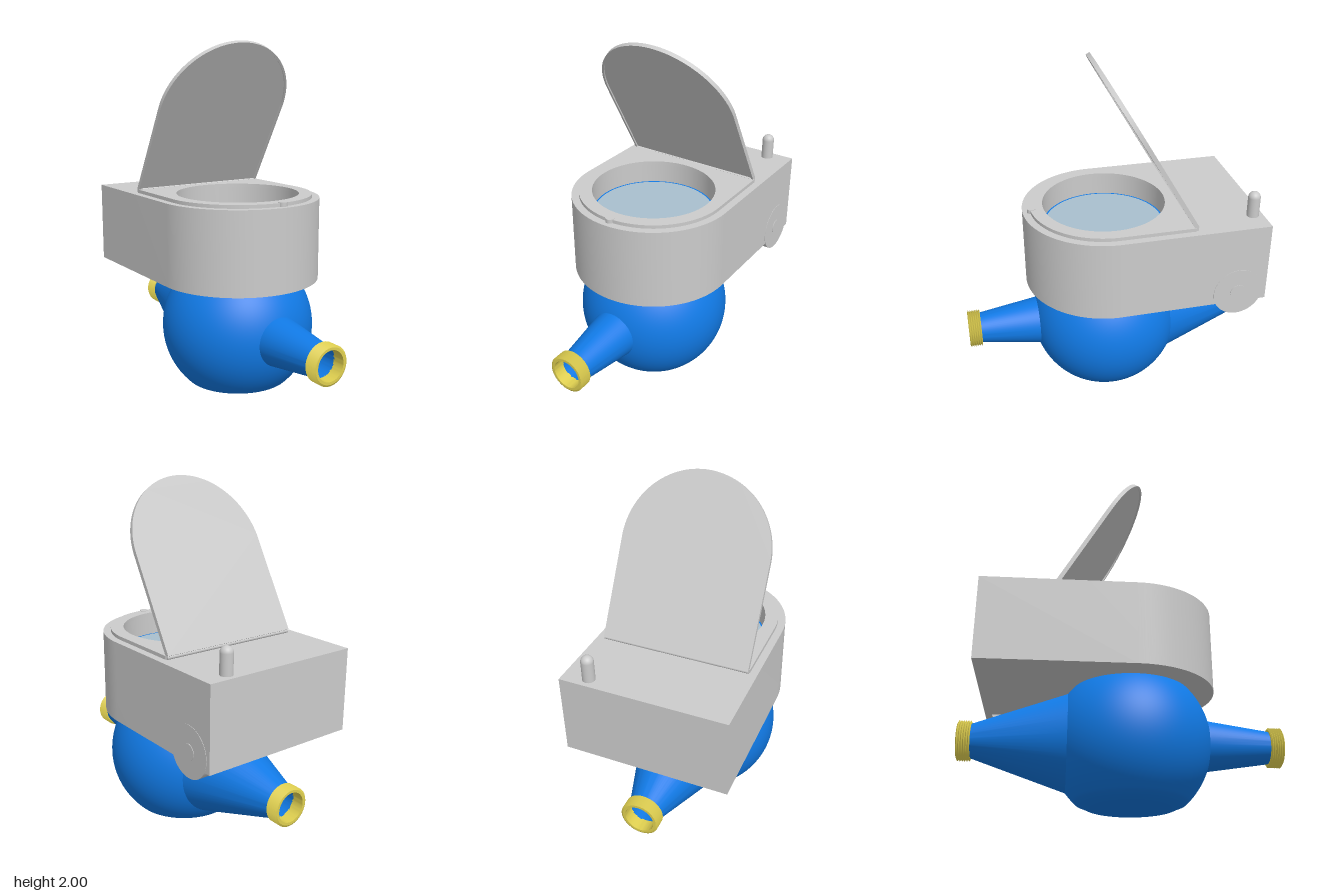
import * as THREE from 'three';
import { toCreasedNormals } from 'three/addons/utils/BufferGeometryUtils.js';

const AXIS_Y = 0.355;   // height of the pipe axis
const BODY_Z = 0.05;    // vertical axis of body, dial and rounded housing end
const BORE = 0.085;

const grey = new THREE.MeshStandardMaterial({ color: 0xcccccc });
const blue = new THREE.MeshStandardMaterial({ color: 0x117ae6 });
const blueOpen = new THREE.MeshStandardMaterial({ color: 0x117ae6, side: THREE.DoubleSide });
const brass = new THREE.MeshStandardMaterial({ color: 0xe0d050 });
const glassMat = new THREE.MeshStandardMaterial({ color: 0xa9bfce });

function add(parent, name, geometry, material, x = 0, y = 0, z = 0) {
  const mesh = new THREE.Mesh(geometry, material);
  mesh.name = name;
  mesh.position.set(x, y, z);
  parent.add(mesh);
  return mesh;
}

// Plan outline: straight back edge, half-round front (shape y is -z)
function roundedPlan(Type, r, backZ, centreZ) {
  const s = new Type();
  s.moveTo(r, -backZ);
  s.lineTo(-r, -backZ);
  s.lineTo(-r, -centreZ);
  s.absarc(0, -centreZ, r, Math.PI, 2 * Math.PI, false);
  s.closePath();
  return s;
}

// Horizontal slab standing on y = 0
function slab(shape, height) {
  const g = new THREE.ExtrudeGeometry(shape, { depth: height, bevelEnabled: false, curveSegments: 48 });
  g.rotateX(-Math.PI / 2);
  return toCreasedNormals(g, 0.5);
}

function withDialHole(shape) {
  const hole = new THREE.Path();
  hole.absarc(0, -BODY_Z, 0.355, 0, 2 * Math.PI, true);
  shape.holes.push(hole);
  return shape;
}

// Surface of revolution about z from [radius, z] pairs
function latheZ(pairs) {
  const g = new THREE.LatheGeometry(pairs.map(([r, z]) => new THREE.Vector2(r, z)), 64);
  g.rotateX(Math.PI / 2);
  return toCreasedNormals(g, 0.5);
}

// Truncated globe, opened where the bore passes through
function bodyGeometry() {
  const pts = [[0, 0], [0.21, 0], [0.25, 0.006], [0.275, 0.018]].map(p => new THREE.Vector2(...p));
  const R = 0.445, a0 = -0.82, a1 = 0.74;
  for (let i = 0; i <= 40; i++) {
    const a = a0 + (a1 - a0) * i / 40;
    pts.push(new THREE.Vector2(R * Math.cos(a), AXIS_Y + R * Math.sin(a)));
  }
  const g = new THREE.LatheGeometry(pts, 112);
  const p = g.attributes.position, idx = g.index.array, kept = [];
  for (let i = 0; i < idx.length; i += 3) {
    const t = [idx[i], idx[i + 1], idx[i + 2]];
    const x = t.reduce((s, k) => s + p.getX(k), 0) / 3;
    const y = t.reduce((s, k) => s + p.getY(k), 0) / 3;
    if (Math.hypot(x, y - AXIS_Y) > 0.105) kept.push(...t);
  }
  g.setIndex(kept);
  return g;
}

function threadGeometry() {
  const z0 = 0.82, z1 = 0.895, ridges = 6, pitch = (z1 - z0) / ridges;
  const pairs = [[BORE, z0], [0.1, z0]];
  for (let i = 0; i < ridges; i++) {
    pairs.push([0.111, z0 + (i + 0.5) * pitch], [0.1, z0 + (i + 1) * pitch]);
  }
  pairs.push([BORE, z1], [BORE, z0]);
  return latheZ(pairs);
}

export function createModel() {
  const model = new THREE.Group();

  // Globe body with two tapering pipe ends and a through bore
  add(model, 'body', bodyGeometry(), blue, 0, 0, BODY_Z);
  add(model, 'frontNozzle', latheZ([[0.152, 0.4], [0.14, 0.48], [0.09, 0.825]]), blue, 0, AXIS_Y);
  const back = add(model, 'backNozzle', latheZ([[0.29, 0.25], [0.272, 0.3], [0.093, 0.825]]), blue, 0, AXIS_Y);
  back.rotation.y = Math.PI;
  add(model, 'bore', latheZ([[BORE, -0.825], [BORE, 0.825]]), blueOpen, 0, AXIS_Y);
  for (const [name, turn] of [['frontThread', 0], ['backThread', Math.PI]]) {
    add(model, name, threadGeometry(), brass, 0, AXIS_Y).rotation.y = turn;
  }

  // Housing with dial opening
  add(model, 'housing', slab(withDialHole(roundedPlan(THREE.Shape, 0.473, -0.8, BODY_Z)), 0.475), grey, 0, 0.645);
  const floor = new THREE.CircleGeometry(0.357, 64);
  floor.rotateX(Math.PI / 2);
  add(model, 'housingFloor', floor, grey, 0, 0.646, BODY_Z);
  add(model, 'dialRim', slab(withDialHole(roundedPlan(THREE.Shape, 0.43, -0.375, BODY_Z)), 0.02), grey, 0, 1.12);

  // Dial glass and its surround
  const glass = new THREE.CircleGeometry(0.35, 64);
  glass.rotateX(-Math.PI / 2);
  add(model, 'dialGlass', glass, glassMat, 0, 1.0, BODY_Z);
  const ring = new THREE.RingGeometry(0.346, 0.356, 64);
  ring.rotateX(-Math.PI / 2);
  add(model, 'dialSurround', ring, blue, 0, 1.003, BODY_Z);

  // Open lid: plate with a shallow lip on its inner face
  const lid = new THREE.Group();
  lid.name = 'lid';
  lid.position.set(0, 1.13, -0.37);
  lid.rotation.x = -Math.PI / 3;
  const lip = roundedPlan(THREE.Shape, 0.425, 0, 0.565);
  lip.holes.push(roundedPlan(THREE.Path, 0.412, 0.012, 0.565));
  add(lid, 'lidLip', slab(lip, 0.009), grey);
  add(lid, 'lidPlate', slab(roundedPlan(THREE.Shape, 0.425, 0, 0.565), 0.015), grey, 0, 0.009);
  model.add(lid);

  // Hinge rod and catch
  const rod = new THREE.CylinderGeometry(0.012, 0.012, 0.85, 20);
  rod.rotateZ(Math.PI / 2);
  add(model, 'hinge', rod, grey, 0, 1.13, -0.376);
  add(model, 'lidCatch', new THREE.CylinderGeometry(0.025, 0.025, 0.024, 24), grey, 0.005, 1.131, 0.472);

  // Round-topped pin on the back corner
  add(model, 'pin', new THREE.CapsuleGeometry(0.035, 0.2, 10, 28), grey, 0.327, 1.135, -0.74);

  // Disc let into the left side, with a small hub
  for (const [name, r, x0, x1] of [['sideDisc', 0.146, 0.39, 0.475], ['sideDiscHub', 0.045, 0.44, 0.478]]) {
    const disc = new THREE.CylinderGeometry(r, r, x1 - x0, 48);
    disc.rotateZ(Math.PI / 2);
    add(model, name, disc, grey, (x0 + x1) / 2, 0.711, -0.63);
  }

  return model;
}
